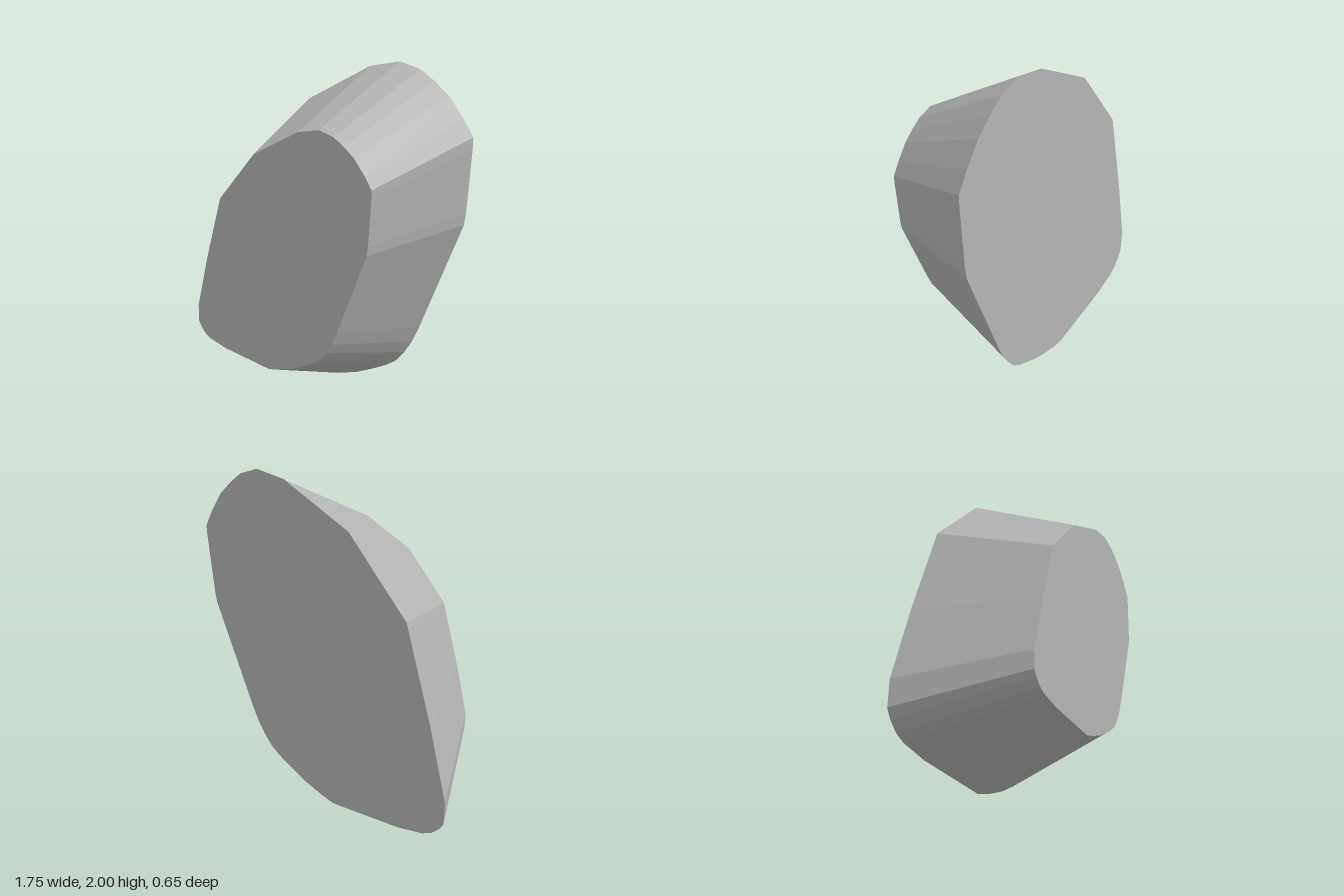
import * as THREE from 'three';

// Outline of the wide back face, counter-clockwise from the bottom
const OUTLINE = [
  [-0.087, 0], [0.01, 0.018], [0.155, 0.06], [0.27, 0.11], [0.37, 0.16], [0.43, 0.2],
  [0.49, 0.27], [0.54, 0.35], [0.585, 0.45], [0.84, 1.1], [0.85, 1.17], [0.872, 1.535],
  [0.872, 1.59], [0.81, 1.69], [0.72, 1.81], [0.63, 1.89], [0.54, 1.955], [0.41, 2],
  [0.215, 1.977], [-0.22, 1.785], [-0.59, 1.395], [-0.76, 0.85], [-0.877, 0.415],
  [-0.877, 0.27], [-0.85, 0.22], [-0.8, 0.165], [-0.74, 0.13], [-0.57, 0.08],
];
const DEPTH = 0.65;
const TAPER = 0.6975; // size of the front face relative to the back

export function createModel() {
  const group = new THREE.Group();
  group.name = 'taperedStone';
  const stone = new THREE.MeshStandardMaterial({ name: 'stoneGrey', color: 0xb4b4b4, flatShading: true });

  const shape = new THREE.Shape(OUTLINE.map(([x, y]) => new THREE.Vector2(x, y)));
  const geometry = new THREE.ExtrudeGeometry(shape, { depth: DEPTH, bevelEnabled: false });
  geometry.translate(0, 0, -DEPTH / 2);

  // Shrink the front outline so the sides slope inwards
  const pos = geometry.attributes.position;
  for (let i = 0; i < pos.count; i++) {
    if (pos.getZ(i) > 0) pos.setXY(i, pos.getX(i) * TAPER + 0.014, pos.getY(i) * TAPER + 0.248);
  }
  geometry.computeVertexNormals();

  const body = new THREE.Mesh(geometry, stone);
  body.name = 'stoneBody';
  group.add(body);
  return group;
}
